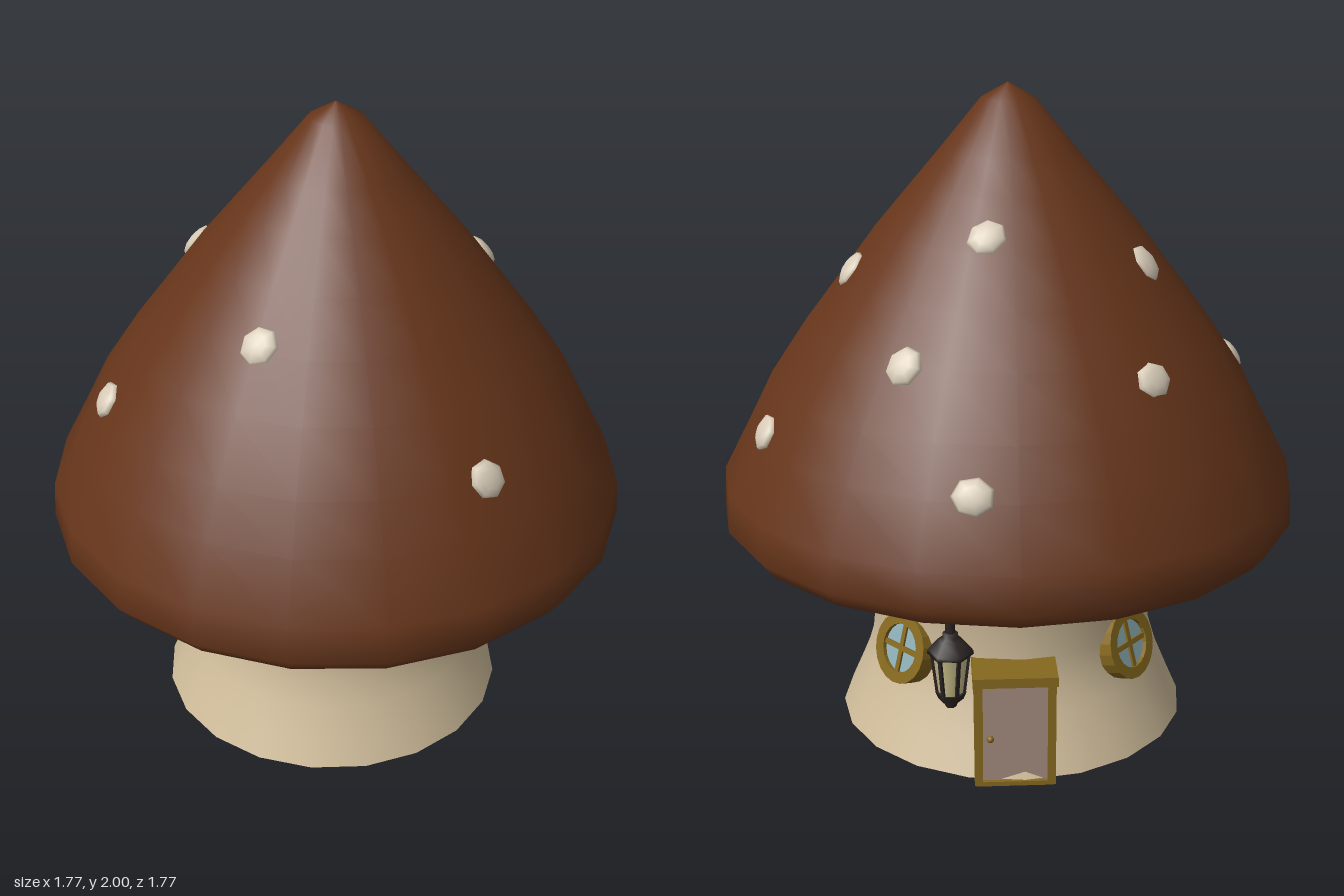
import * as THREE from 'three';

const mat = (color) => new THREE.MeshStandardMaterial({ color });
const CAP = mat(0x66351a), STEM = mat(0xd0bd9b), SPOT = mat(0xd8ccb8), GOLD = mat(0x86691f);
const DOOR = mat(0xa38c80), PANE = mat(0x8fb0b8), IRON = mat(0x2a2422), GLOW = mat(0xc9c08a), STONE = mat(0x77797e);

function add(parent, name, geometry, material, x = 0, y = 0, z = 0) {
  const mesh = new THREE.Mesh(geometry, material);
  mesh.name = name;
  mesh.position.set(x, y, z);
  parent.add(mesh);
  return mesh;
}
function group(parent, name, x = 0, y = 0, z = 0) {
  const g = new THREE.Group();
  g.name = name;
  g.position.set(x, y, z);
  parent.add(g);
  return g;
}
const lathe = (pts, sides = 20) => new THREE.LatheGeometry(pts.map(([r, y]) => new THREE.Vector2(r, y)), sides);

// Cap outline as [radius, height], rim to tip
const CAP_PROFILE = [[0.845, 0.66], [0.885, 0.71], [0.878, 0.82], [0.79, 0.99], [0.72, 1.13], [0.61, 1.295],
  [0.5, 1.44], [0.395, 1.58], [0.285, 1.71], [0.2, 1.81], [0.08, 1.955], [0, 2]];

// Height and surface tilt of the cap at a given radius
function capAt(r) {
  for (let i = 2; i < CAP_PROFILE.length - 1; i++) {
    const [r0, y0] = CAP_PROFILE[i], [r1, y1] = CAP_PROFILE[i + 1];
    if (r <= r0 && r >= r1) {
      return { y: y0 + (y1 - y0) * (r0 - r) / (r0 - r1), tilt: Math.atan2(r0 - r1, y1 - y0) };
    }
  }
}

function addSpots(root) {
  const spots = [[-0.33, -0.71], [-0.04, -0.61], [0.45, -0.63], [-0.14, -0.34], [0.34, -0.34],
    [-0.61, -0.21], [-0.45, 0.04], [-0.54, 0.46], [-0.01, 0.49], [0.63, 0.36]];
  const geo = new THREE.SphereGeometry(1, 7, 6).rotateX(Math.PI / 2).scale(0.061, 0.055, 0.026);
  spots.forEach(([x, z], i) => {
    const r = Math.hypot(x, z), { y, tilt } = capAt(r);
    const s = group(root, 'capSpot' + (i + 1), x * (1 - 0.01 / r), y, z * (1 - 0.01 / r));
    s.rotation.set(-tilt, Math.atan2(x, z), 0, 'YXZ');
    add(s, 'spot', geo, SPOT).rotation.z = i * 1.3;
  });
}

// Round window facing +z locally, leaning with the wall
function addWindow(root, name, x, z) {
  const w = group(root, name, x, 0.335, z);
  w.rotation.set(-0.28, Math.atan2(x + 0.015, z), 0, 'YXZ');
  const ring = new THREE.Shape().absarc(0, 0, 0.108, 0, Math.PI * 2);
  ring.holes.push(new THREE.Path().absarc(0, 0, 0.074, 0, Math.PI * 2, true));
  add(w, 'windowRing', new THREE.ExtrudeGeometry(ring, { depth: 0.06, bevelEnabled: false, curveSegments: 10 }), GOLD, 0, 0, -0.035);
  add(w, 'windowPane', new THREE.CylinderGeometry(0.08, 0.08, 0.04, 20).rotateX(Math.PI / 2), PANE, 0, 0, -0.008);
  add(w, 'windowBarUpright', new THREE.BoxGeometry(0.016, 0.15, 0.03), GOLD, 0, 0, 0.004);
  add(w, 'windowBarAcross', new THREE.BoxGeometry(0.15, 0.016, 0.03), GOLD, 0, 0, 0.004);
}

function addDoor(root) {
  const d = group(root, 'door', -0.312, 0, -0.46);
  d.rotation.y = Math.atan2(-0.57, -0.82);
  for (const s of [-1, 1]) {
    add(d, 'doorPost', new THREE.BoxGeometry(0.024, 0.335, 0.17), GOLD, s * 0.108, 0.1725, -0.085);
  }
  add(d, 'doorLintel', new THREE.BoxGeometry(0.25, 0.03, 0.18), GOLD, 0, 0.345, -0.082);
  add(d, 'doorSill', new THREE.BoxGeometry(0.23, 0.014, 0.12), GOLD, 0, 0.01, -0.06);
  add(d, 'doorPanel', new THREE.BoxGeometry(0.2, 0.32, 0.13), DOOR, 0, 0.172, -0.077);
  add(d, 'doorKnob', new THREE.SphereGeometry(0.011, 10, 8), GOLD, -0.074, 0.16, 0);
}

function addLantern(root) {
  const l = group(root, 'lantern', -0.22, 0, -0.66);
  add(l, 'lanternHanger', new THREE.CylinderGeometry(0.014, 0.014, 0.17, 8), IRON, 0, 0.635, 0);
  add(l, 'lanternRoof', lathe([[0, 0.5], [0.066, 0.5], [0.064, 0.512], [0.035, 0.545], [0.022, 0.55], [0.022, 0.565], [0, 0.565]], 6).toNonIndexed(), IRON);
  add(l, 'lanternGlass', new THREE.CylinderGeometry(0.052, 0.037, 0.125, 6), GLOW, 0, 0.44, 0);
  add(l, 'lanternBase', new THREE.CylinderGeometry(0.045, 0.036, 0.022, 6), IRON, 0, 0.37, 0);
  add(l, 'lanternFinial', new THREE.CylinderGeometry(0.024, 0.016, 0.025, 6), IRON, 0, 0.348, 0);
  // Corner bars follow the taper of the glass
  for (let i = 0; i < 6; i++) {
    const corner = group(l, 'lanternCorner');
    corner.rotation.y = i * Math.PI / 3;
    add(corner, 'lanternBar', new THREE.BoxGeometry(0.01, 0.13, 0.01), IRON, 0, 0.44, 0.045).rotation.x = 0.12;
  }
}

export function createModel() {
  const root = new THREE.Group();
  root.name = 'mushroomHouse';

  // Cap with a shallow hollow underside
  const cap = group(root, 'cap');
  cap.rotation.y = -0.033;
  add(cap, 'capTop', lathe(CAP_PROFILE), CAP);
  add(cap, 'capUnderside', lathe([[0.3, 0.765], [0.845, 0.66]]), CAP);

  // Flared stem and its flat base
  const stem = group(root, 'stem', -0.015, 0, 0);
  add(stem, 'stemWall', lathe([[0.545, 0.02], [0.51, 0.1], [0.468, 0.2], [0.444, 0.28], [0.436, 0.36],
    [0.44, 0.46], [0.455, 0.58], [0.462, 0.65], [0.45, 0.7], [0.4, 0.76]]), STEM);
  add(stem, 'stemBase', lathe([[0, 0.02], [0.545, 0.02]]), STEM);

  // Flat stone under the floor
  const stone = add(root, 'floorStone', new THREE.CylinderGeometry(0.115, 0.105, 0.025, 7), STONE, 0.065, 0.025, -0.3);
  stone.scale.z = 1.15;

  addSpots(root);
  addWindow(root, 'backWindow', 0.1, -0.43);
  addWindow(root, 'sideWindow', -0.455, -0.05);
  addDoor(root);
  addLantern(root);
  return root;
}
